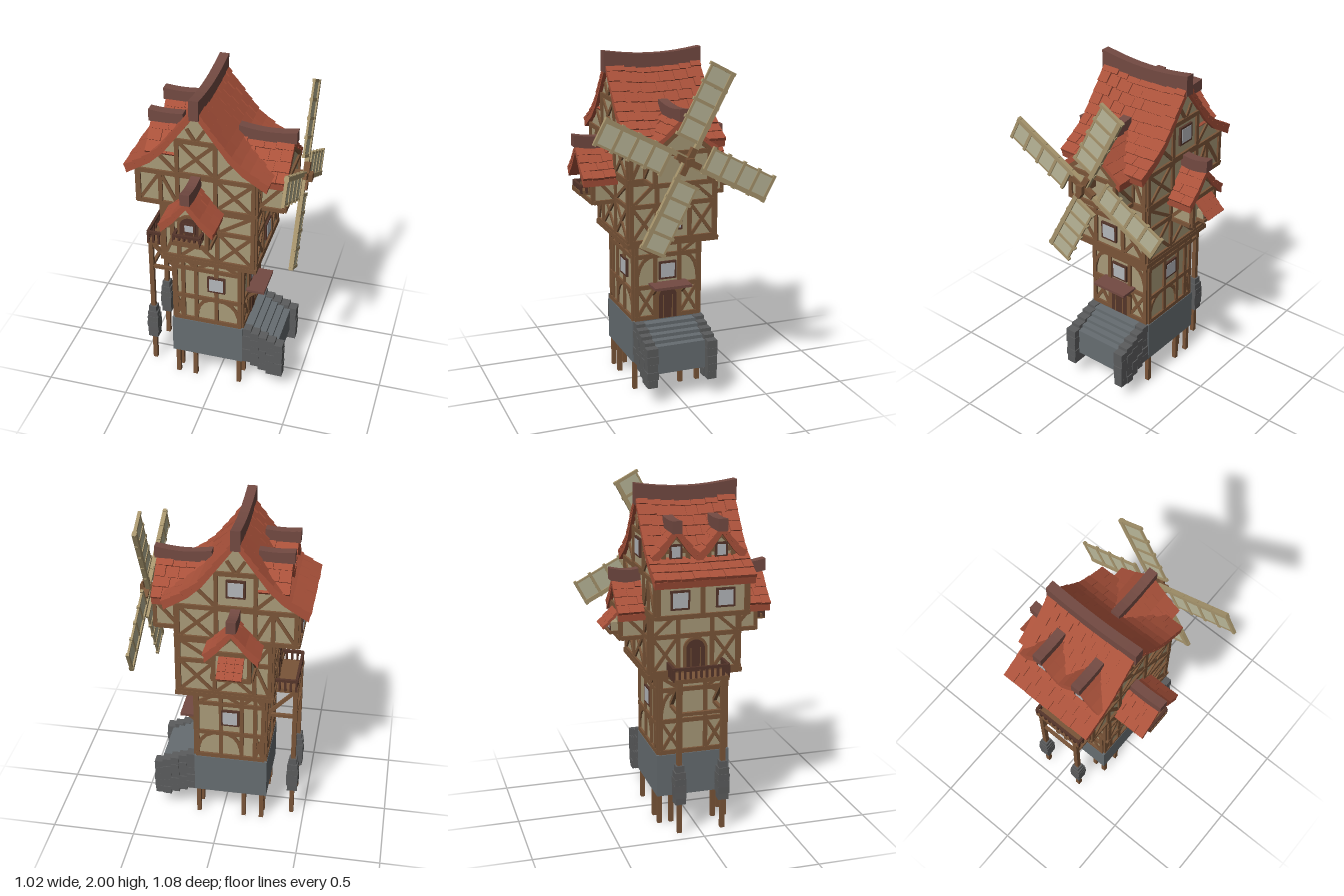
import * as THREE from 'three';
import { mergeGeometries } from 'three/addons/utils/BufferGeometryUtils.js';

const paint = color => new THREE.MeshStandardMaterial({ color });
const M = {
  wall: paint(0xa89a78), beam: paint(0x7a5538), dark: paint(0x55352a), tile: paint(0xa9513a),
  ridge: paint(0x734a42), base: paint(0x666d71), stone: paint(0x5b5c5d), glass: paint(0xb4b7bb),
  cloth: paint(0xb9b698), spar: paint(0xa6946c),
};
let seed = 7;
const rnd = () => ((seed = (seed * 16807) % 2147483647) / 2147483647) - 0.5;
const V = (x, y, z = 0) => new THREE.Vector3(x, y, z);

function add(parent, name, geo, mat, x = 0, y = 0, z = 0) {
  const m = new THREE.Mesh(geo, mat);
  m.name = name;
  m.position.set(x, y, z);
  parent.add(m);
  return m;
}
// Box given by its lower and upper corner
const block = (p, name, mat, x0, x1, y0, y1, z0, z1) =>
  add(p, name, new THREE.BoxGeometry(x1 - x0, y1 - y0, z1 - z0), mat, (x0 + x1) / 2, (y0 + y1) / 2, (z0 + z1) / 2);

// Square timber between two points
function strut(p, name, a, b, w = 0.024, mat = M.beam) {
  const m = new THREE.Mesh(new THREE.BoxGeometry(w, w, a.distanceTo(b)), mat);
  m.name = name;
  m.position.copy(a).lerp(b, 0.5);
  m.lookAt(b);
  p.add(m);
}
// Group lying on a wall: local x along the wall, local z outward
function face(root, name, x, z, turn) {
  const g = new THREE.Group();
  g.name = name;
  g.position.set(x, 0, z);
  g.rotation.y = turn * Math.PI / 2;
  root.add(g);
  return g;
}
// Timber grid; each cell may carry a cross, a diagonal or a curved brace
function timbers(f, us, ys, rows) {
  const y0 = ys[0], y1 = ys[ys.length - 1], u0 = us[0], u1 = us[us.length - 1];
  us.forEach(u => strut(f, 'post', V(u, y0), V(u, y1)));
  ys.forEach(y => strut(f, 'rail', V(u0 - 0.012, y), V(u1 + 0.012, y), 0.026));
  rows.forEach((row, r) => [...row].forEach((c, i) => {
    const [a, b, lo, hi] = [us[i], us[i + 1], ys[r], ys[r + 1]];
    if (c === '/' || c === 'X') strut(f, 'brace', V(a, lo), V(b, hi), 0.02);
    if (c === '\\' || c === 'X') strut(f, 'brace', V(a, hi), V(b, lo), 0.0195);
    if (c === '(' || c === ')') {
      const [s, e] = c === '(' ? [a, b] : [b, a];
      const pts = new THREE.QuadraticBezierCurve3(V(s, lo), V(s, hi), V(e, hi)).getPoints(5);
      for (let k = 0; k < 5; k++) strut(f, 'curvedBrace', pts[k], pts[k + 1], 0.02);
    }
  }));
}
function pane(f, u, y, w = 0.085, h = 0.085, z = 0) {
  block(f, 'windowFrame', M.dark, u - w / 2 - 0.012, u + w / 2 + 0.012, y - h / 2 - 0.012, y + h / 2 + 0.012, z - 0.01, z + 0.014);
  block(f, 'windowGlass', M.glass, u - w / 2, u + w / 2, y - h / 2, y + h / 2, z, z + 0.016);
}
function archDoor(f, y, w, h) {
  const arch = (r, top) => new THREE.Shape().moveTo(-r, 0).lineTo(r, 0).lineTo(r, top - r).absarc(0, top - r, r, 0, Math.PI, false);
  const make = (s, depth) => new THREE.ExtrudeGeometry(s, { depth, bevelEnabled: false, curveSegments: 8 });
  add(f, 'doorFrame', make(arch(w / 2 + 0.016, h + 0.016), 0.014), M.beam, 0, y);
  add(f, 'doorLeaf', make(arch(w / 2, h), 0.016), M.dark, 0, y);
  for (const u of [-0.25, 0.25]) block(f, 'doorPlank', M.beam, u * w - 0.003, u * w + 0.003, y, y + h * 0.75, 0, 0.018);
}
// Gable roof along local z: sagging ridge, overlapping tiles, side profile of [distance, height]
function gableRoof(p, name, prof, z0, z1, sag, rows, ridgeTop, ridgeH) {
  const g = new THREE.Group();
  g.name = name;
  p.add(g);
  const half = prof[prof.length - 1][0], zc = (z0 + z1) / 2, hl = (z1 - z0) / 2;
  const dip = (d, z) => -sag * Math.max(0, 1 - d / half) * Math.max(0, 1 - ((z - zc) / hl) ** 2);
  const bend = geo => {
    const a = geo.attributes.position;
    for (let i = 0; i < a.count; i++) a.setY(i, a.getY(i) + dip(Math.abs(a.getX(i)), a.getZ(i)));
    geo.computeVertexNormals();
    return geo;
  };
  const top = [...prof.slice(1).reverse().map(([d, y]) => [-d, y]), ...prof];
  const outline = [...top.map(([x, y]) => V(x, y - 0.006)), ...top.reverse().map(([x, y]) => V(x * 0.98, y - 0.045))];
  const sheet = new THREE.ExtrudeGeometry(new THREE.Shape(outline), { depth: 2 * hl - 0.006, steps: 6, bevelEnabled: false });
  add(g, 'roofDeck', bend(sheet.translate(0, 0, z0 + 0.003)), M.tile);
  const path = new THREE.CurvePath();
  for (let i = 1; i < prof.length; i++) path.add(new THREE.LineCurve3(V(...prof[i - 1]), V(...prof[i])));
  const tiles = [], n = Math.max(2, Math.round((z1 - z0) / 0.085));
  for (const side of [-1, 1]) for (let r = 0; r < rows; r++) {
    const a = path.getPointAt(r / rows), b = path.getPointAt((r + 1) / rows);
    const cuts = [z0];
    for (let k = 1; k < n; k++) cuts.push(z0 + (k + (r % 2 ? 0.25 : -0.25) + rnd() * 0.25) * (z1 - z0) / n);
    cuts.push(z1);
    for (let k = 0; k < n; k++) {
      const z = (cuts[k] + cuts[k + 1]) / 2, ya = a.y + dip(a.x, z), yb = b.y + dip(b.x, z);
      const len = Math.hypot(b.x - a.x, yb - ya);
      const t = new THREE.BoxGeometry(len * 1.1 + rnd() * 0.008, 0.018, cuts[k + 1] - cuts[k] - 0.002);
      t.rotateZ(side * (Math.atan2(yb - ya, b.x - a.x) + 0.1));
      tiles.push(t.translate(side * (a.x + b.x) / 2, (ya + yb) / 2 + rnd() * 0.004, z));
    }
  }
  add(g, 'roofTiles', mergeGeometries(tiles), M.tile);
  const cap = new THREE.BoxGeometry(0.055, ridgeH, 2 * hl + 0.015, 1, 1, 8).translate(0, ridgeTop - ridgeH / 2, zc + 0.004);
  add(g, 'ridgeBeam', bend(cap.toNonIndexed()), M.ridge);
}
// Projecting bay or dormer with its own gable roof
function bay(f, name, o) {
  const g = new THREE.Group();
  g.name = name;
  g.position.x = o.u || 0;
  f.add(g);
  const { w, y0, eave, apex, depth, back } = o;
  const s = new THREE.Shape([V(-w, y0), V(w, y0), V(w, eave), V(0, apex), V(-w, eave)]);
  add(g, 'bayWall', new THREE.ExtrudeGeometry(s, { depth: depth - back, bevelEnabled: false }), M.wall, 0, 0, back);
  const front = face(g, 'bayFront', 0, depth, 0);
  timbers(front, [-w + 0.01, w - 0.01], [y0 + 0.013, eave], ['.']);
  const inner = Math.min(0, depth - 0.1);
  for (const k of [-1, 1]) {
    strut(front, 'rafter', V(k * w, eave), V(0, apex - 0.01));
    for (const y of [y0 + 0.013, eave - 0.01]) strut(g, 'sideRail', V(k * w, y, inner), V(k * w, y, depth));
    strut(g, 'sideBrace', V(k * w, y0 + 0.02, inner), V(k * w, eave - 0.01, depth), 0.02);
  }
  const [rw, re, rt] = o.roof;
  gableRoof(g, 'bayRoof', [[0, rt], [rw * 0.5, (rt + re) / 2 - 0.012], [rw, re]], back, o.end, o.sag ?? 0.02, o.rows || 4, o.ridgeTop, 0.07);
  return front;
}
function balcony(f, w, depth, y, h) {
  block(f, 'balconyFloor', M.beam, -w / 2, w / 2, y - 0.012, y + 0.014, 0, depth);
  const c = [V(-w / 2, y + h, 0), V(-w / 2, y + h, depth - 0.01), V(w / 2, y + h, depth - 0.01), V(w / 2, y + h, 0)];
  for (let i = 0; i < 3; i++) {
    strut(f, 'handrail', c[i], c[i + 1], 0.016, M.dark);
    const n = Math.max(2, Math.round(c[i].distanceTo(c[i + 1]) / 0.033));
    for (let k = 0; k <= n; k++) {
      const q = c[i].clone().lerp(c[i + 1], k / n);
      strut(f, 'baluster', q, V(q.x, y, q.z), 0.013, M.dark);
    }
  }
}

export function createModel() {
  const root = new THREE.Group();
  root.name = 'timberWindmillHouse';

  // Stilts, stone base and storey walls
  for (const k of [-1, 1]) for (const [x, z] of [[-0.245, 0.2], [-0.245, 0.13], [-0.135, 0.2], [0.145, 0.2], [0.145, 0.09]])
    strut(root, 'stilt', V(x, 0, k * z), V(x, 0.2, k * z), 0.026);
  block(root, 'stoneBase', M.base, -0.275, 0.168, 0.18, 0.435, -0.22, 0.22);
  block(root, 'lowerWall', M.wall, -0.26, 0.16, 0.43, 0.93, -0.205, 0.205);
  block(root, 'floorPlate', M.beam, -0.312, 0.262, 0.918, 0.945, -0.28, 0.28);
  block(root, 'middleWall', M.wall, -0.3, 0.25, 0.94, 1.31, -0.265, 0.265);
  block(root, 'upperPlate', M.beam, -0.45, 0.26, 1.298, 1.32, -0.275, 0.275);
  const gable = [[-0.44, 1.3], [0.25, 1.3], [0.25, 1.5], [0.18, 1.57], [0.1, 1.645], [-0.005, 1.78], [-0.09, 1.89],
    [-0.175, 1.78], [-0.28, 1.645], [-0.36, 1.57], [-0.44, 1.5]].map(([x, y]) => V(x, y));
  add(root, 'upperWall', new THREE.ExtrudeGeometry(new THREE.Shape(gable), { depth: 0.53, bevelEnabled: false }), M.wall, 0, 0, -0.265);

  // Timber framing on front and back
  for (const k of [1, -1]) {
    const U = us => (k > 0 ? us : us.map(u => -u).reverse());
    const lo = face(root, 'lowerFraming', 0, k * 0.205, k > 0 ? 0 : 2);
    timbers(lo, U([-0.248, -0.2, -0.12, 0.005, 0.148]), [0.45, 0.62, 0.83, 0.91], k > 0 ? ['X.()', '....', '/\\/\\'] : ['().X', '....', '/\\/\\']);
    pane(lo, k > 0 ? 0.005 : 0.05, 0.735);
    const up = face(root, 'upperFraming', 0, k * 0.265, k > 0 ? 0 : 2);
    timbers(up, U([-0.288, -0.2, 0.03, 0.238]), [0.95, 1.16, 1.295], k > 0 ? ['/XX', '\\./'] : ['XX\\', '\\./']);
    timbers(up, U([-0.428, -0.3, -0.2, 0.02, 0.238]), [1.31, 1.51], k > 0 ? ['/\\.X'] : ['X./\\']);
    timbers(up, U([-0.2, 0.02]), [1.52, 1.73], k > 0 ? ['X'] : ['.']);
    if (k < 0) pane(up, 0.09, 1.64);
    for (const s of [-1, 1]) {
      const c = -0.09 * k;
      strut(up, 'gableBrace', V(c + s * 0.11, 1.52), V(c + s * 0.22, 1.63), 0.02);
      strut(up, 'gableBrace', V(c, 1.73), V(c + s * 0.05, 1.81), 0.02);
    }
  }
  // Framing, windows and doors on both sides
  for (const k of [1, -1]) {
    const side = (n, x) => face(root, n, x, 0, k);
    const lo = side('lowerSideFraming', k > 0 ? 0.16 : -0.26);
    timbers(lo, [-0.193, -0.075, 0.075, 0.193], [0.45, 0.64, 0.83, 0.91], ['X.X', '(.)', '\\./']);
    const mid = side('middleSideFraming', k > 0 ? 0.25 : -0.3);
    timbers(mid, [-0.253, -0.1, 0.1, 0.253], [0.95, 1.16, 1.295], ['X.X', '/.\\']);
    const up = side('upperSideFraming', k > 0 ? 0.25 : -0.44);
    if (k > 0) {
      pane(lo, 0, 0.735);
      archDoor(lo, 0.44, 0.11, 0.19);
      block(lo, 'doorCanopy', M.ridge, -0.115, 0.115, 0.648, 0.664, 0, 0.112);
      for (const u of [-0.09, 0.09]) strut(lo, 'canopyBrace', V(u, 0.59, 0), V(u, 0.65, 0.075), 0.014);
      pane(mid, 0, 1.06);
      timbers(up, [-0.253, -0.17, 0.17, 0.253], [1.31, 1.49], ['/.\\']);
      bay(up, 'rightBay', { w: 0.17, y0: 1.3, eave: 1.49, apex: 1.64, depth: 0.14, back: -0.16, end: 0.155, roof: [0.2, 1.505, 1.69], ridgeTop: 1.735 });
    } else {
      archDoor(mid, 0.945, 0.11, 0.19);
      balcony(mid, 0.32, 0.14, 0.932, 0.072);
      timbers(up, [-0.253, 0, 0.253], [1.31, 1.5], ['..']);
      for (const u of [-0.13, 0.13]) {
        pane(up, u, 1.405);
        const d = bay(up, 'roofDormer', { u, w: 0.08, y0: 1.56, eave: 1.66, apex: 1.75, depth: -0.085, back: -0.24, end: -0.055, sag: 0.008, roof: [0.135, 1.63, 1.79], ridgeTop: 1.83, rows: 3 });
        pane(d, 0, 1.655, 0.05, 0.06);
      }
    }
  }
  // Main roof
  const roof = face(root, 'mainRoof', -0.09, 0, 0);
  gableRoof(roof, 'mainGable', [[0, 1.945], [0.085, 1.83], [0.19, 1.69], [0.27, 1.615], [0.412, 1.528]], -0.29, 0.29, 0.03, 9, 2, 0.12);

  // Front bay with small balcony, back bay with oriel
  const bayDims = { w: 0.11, y0: 1.13, eave: 1.31, apex: 1.43, back: -0.02, roof: [0.153, 1.295, 1.47], ridgeTop: 1.53 };
  const fb = bay(face(root, 'frontBayGroup', -0.09, 0.265, 0), 'frontBay', { ...bayDims, depth: 0.135, end: 0.21 });
  archDoor(fb, 1.19, 0.11, 0.14);
  pane(fb, 0, 1.265, 0.05, 0.04, 0.006);
  balcony(fb, 0.15, 0.072, 1.195, 0.042);
  const bb = bay(face(root, 'backBayGroup', -0.09, -0.265, 2), 'backBay', { ...bayDims, depth: 0.14, end: 0.165 });
  block(bb, 'oriel', M.wall, -0.055, 0.055, 1.165, 1.225, 0, 0.042);
  block(bb, 'orielSill', M.beam, -0.062, 0.062, 1.157, 1.175, 0, 0.055);
  pane(bb, 0, 1.194, 0.06, 0.018, 0.032);
  for (let r = 0; r < 3; r++) for (let c = 0; c < 3; c++)
    add(bb, 'orielTile', new THREE.BoxGeometry(0.047, 0.015, 0.056), M.tile, (c - 1) * 0.048, 1.278 - r * 0.031 + rnd() * 0.004, 0.008 + r * 0.033).rotation.x = 0.68;

  // Balcony posts with stone collars
  for (const z of [-0.13, 0.13]) {
    strut(root, 'balconyPost', V(-0.425, 0.01, z), V(-0.425, 0.93, z), 0.027);
    strut(root, 'postTie', V(-0.425, 0.735, z), V(-0.26, 0.735, z), 0.02);
    strut(root, 'postBrace', V(-0.42, 0.91, z), V(-0.265, 0.745, z), 0.02);
    [0.062, 0.068, 0.07, 0.068, 0.062, 0.048].forEach((w, i) => {
      add(root, 'postCollar', new THREE.BoxGeometry(w, 0.041, w), M.stone, -0.425, 0.216 + i * 0.039, z).rotation.y = rnd() * 0.15;
    });
  }
  strut(root, 'postCrossTie', V(-0.425, 0.735, -0.13), V(-0.425, 0.735, 0.13), 0.02);

  // Entrance stairs with rough stone side walls
  for (let i = 0; i < 5; i++) block(root, 'step', M.base, 0.165, 0.22 + i * 0.04, 0.18, 0.43 - i * 0.02, -0.16, 0.16);
  for (const k of [-1, 1]) for (let i = 0; i < 5; i++) {
    const x = 0.168 + i * 0.05, top = 0.438 - i * 0.02, low = Math.max(0.115, 0.18 - i * 0.022), n = 5;
    for (let r = 0; r < n; r++) {
      const h = (top - low) / n, y = low + r * h;
      const w = 0.031 + rnd() * 0.008;
      block(root, 'stairStone', M.stone, x, x + 0.051 + rnd() * 0.004, y, y + h - 0.002, k * 0.185 - w, k * 0.185 + w);
    }
  }

  // Windmill
  strut(root, 'millShaft', V(0.36, 1.455, 0), V(0.51, 1.455, 0), 0.045);
  const mill = face(root, 'millSails', 0.462, 0, 1);
  mill.position.y = 1.455;
  for (let k = 0; k < 4; k++) {
    const s = new THREE.Group();
    s.name = 'sail';
    s.rotation.z = -28 * Math.PI / 180 + k * Math.PI / 2;
    mill.add(s);
    strut(s, 'sailSpar', V(0.012, 0, 0), V(0.012, 0.54, 0), 0.026, M.spar);
    block(s, 'sailCloth', M.cloth, -0.125, 0.012, 0.11, 0.535, -0.004, 0.004);
    strut(s, 'sailEdge', V(-0.122, 0.11, 0), V(-0.122, 0.535, 0), 0.012, M.spar);
    for (let i = 0; i < 5; i++) strut(s, 'sailRung', V(-0.137, 0.115 + i * 0.104, 0), V(0.03, 0.115 + i * 0.104, 0), 0.018, M.spar);
    strut(s, 'hubArm', V(0, 0, 0.008), V(0, 0.08, 0.008), 0.034);
  }
  return root;
}
